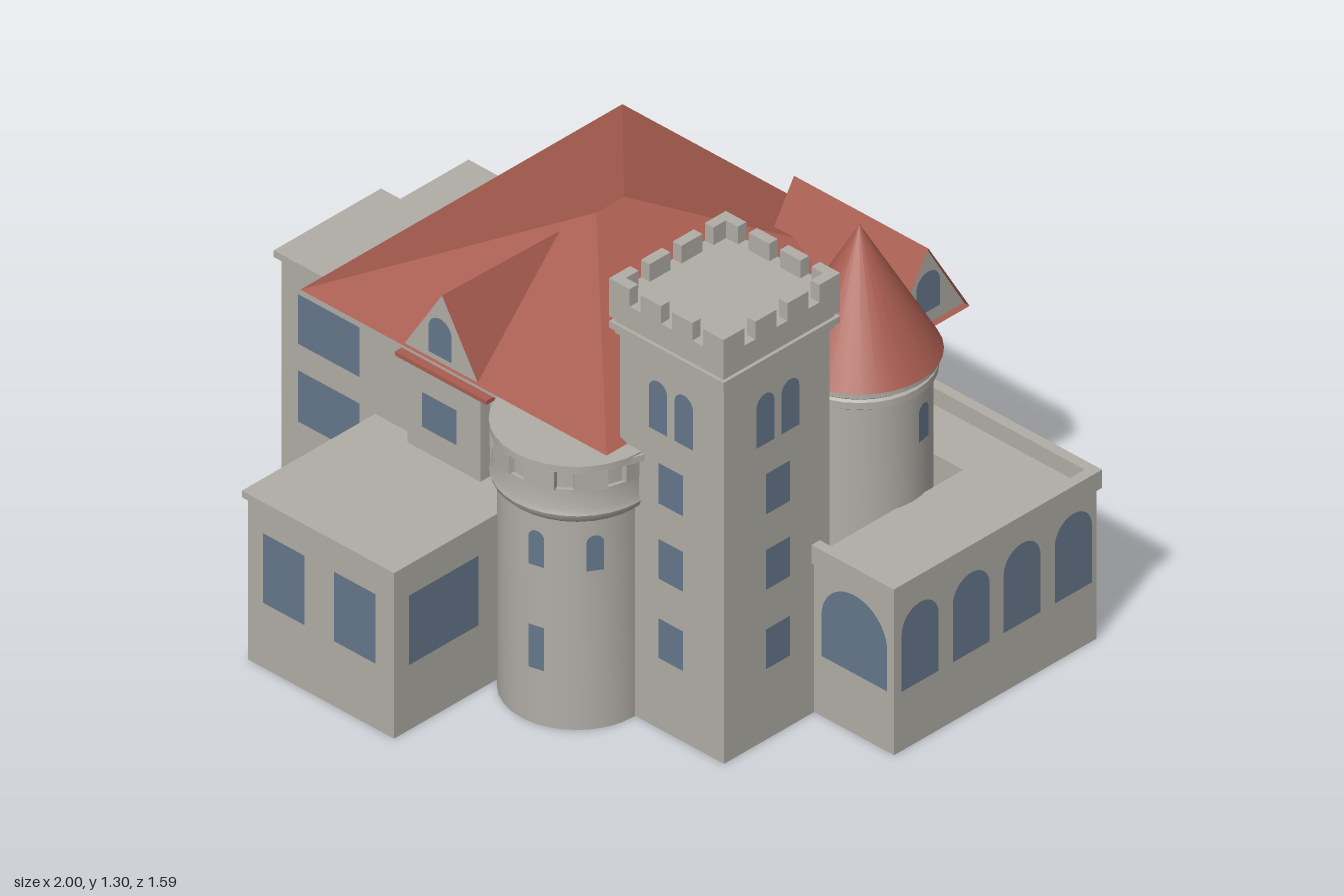
import * as THREE from 'three';
import { toCreasedNormals } from 'three/addons/utils/BufferGeometryUtils.js';

const material = (name, color, side = THREE.DoubleSide) => {
  const m = new THREE.MeshStandardMaterial({ color, side });
  m.name = name;
  return m;
};

export function createModel() {
  const castle = new THREE.Group();
  castle.name = 'castle';
  const stone = material('stone', 0xb0ada6);
  const tile = material('roofTile', 0xa85c4f);
  const glass = material('windowGlass', 0x65778b, THREE.FrontSide);

  const add = (name, geometry, mat = stone) => {
    const mesh = new THREE.Mesh(geometry, mat);
    mesh.name = name;
    castle.add(mesh);
    return mesh;
  };

  // Upright prism from [x, z] corners, open underneath when it stands on the ground
  const prism = (name, corners, y0, y1) => {
    const shape = new THREE.Shape(corners.map(([x, z]) => new THREE.Vector2(x, -z)));
    const g = new THREE.ExtrudeGeometry(shape, { depth: y1 - y0, bevelEnabled: false });
    if (y0 === 0) {
      const skip = g.groups[0].count / 2;
      for (const key of ['position', 'normal', 'uv']) {
        const a = g.attributes[key];
        g.setAttribute(key, new THREE.BufferAttribute(a.array.slice(skip * a.itemSize), a.itemSize));
      }
    }
    g.clearGroups();
    g.rotateX(-Math.PI / 2).translate(0, y0, 0);
    return add(name, g);
  };
  const block = (name, x0, x1, z0, z1, y0, y1) =>
    prism(name, [[x0, z0], [x1, z0], [x1, z1], [x0, z1]], y0, y1);

  // Round tower from a [radius, y] profile
  const round = (name, x, z, profile, mat = stone) => {
    const g = new THREE.LatheGeometry(profile.map(p => new THREE.Vector2(...p)), 32);
    add(name, toCreasedNormals(g, 0.5), mat).position.set(x, 0, z);
  };

  // Thin window pane; turn is the direction it faces (0 = +z)
  const pane = (x, z, turn, w, y0, y1, arched = false) => {
    const s = new THREE.Shape(), r = w / 2, h = y1 - y0;
    s.moveTo(-r, 0);
    s.lineTo(r, 0);
    if (arched) {
      s.lineTo(r, h - r);
      s.absarc(0, h - r, r, 0, Math.PI, false);
    } else {
      s.lineTo(r, h);
      s.lineTo(-r, h);
    }
    const m = add('window', new THREE.ShapeGeometry(s, 10), glass);
    m.position.set(x + Math.sin(turn) * 0.004, y0, z + Math.cos(turn) * 0.004);
    m.rotation.y = turn;
  };
  const RIGHT = Math.PI / 2, BACK = Math.PI, LEFT = -Math.PI / 2;

  // Flat-faced surface from triangles
  const facets = (name, triangles, mat) => {
    const g = new THREE.BufferGeometry();
    g.setAttribute('position', new THREE.Float32BufferAttribute(triangles.flat(2), 3));
    g.computeVertexNormals();
    return add(name, g, mat);
  };

  // Main house with a faceted rear bay, a set-back front corner and a stepped cornice
  const plan = [[-0.65, -0.62], [-0.2, -0.62], [-0.09, -0.765], [0.06, -0.765], [0.2, -0.66], [0.2, -0.59],
    [0.5, -0.59], [0.5, 0], [0.38, 0.31], [-0.5, 0.31], [-0.5, 0.165], [-0.65, 0.165]];
  const grow = s => plan.map(([x, z]) => [-0.07 + (x + 0.07) * s, -0.23 + (z + 0.23) * s]);
  prism('mainHouse', plan, 0, 0.775);
  prism('cornice', grow(1.03), 0.765, 0.785);
  prism('cornice', grow(1.06), 0.785, 0.805);
  for (const [y0, y1] of [[0.2, 0.31], [0.395, 0.5], [0.59, 0.69]]) {
    pane(-0.565, 0.165, 0, 0.06, y0, y1);
    pane(-0.145, -0.6925, Math.atan2(-0.145, -0.11), 0.06, y0, y1);
    for (const x of [-0.36, -0.55]) pane(x, -0.62, BACK, 0.11, y0, y1);
  }

  // Hipped main roof
  const e = 0.81;
  const bl = [-0.7, e, -0.8], br = [0.37, e, -0.8], fr = [0.37, e, 0.36], fl = [-0.7, e, 0.36];
  const rb = [-0.17, 1.04, -0.26], rf = [-0.17, 1.04, -0.16];
  facets('mainRoof', [[fl, fr, rf], [br, bl, rb], [bl, fl, rf], [bl, rf, rb], [fr, br, rb], [fr, rb, rf],
    [bl, br, fr], [bl, fr, fl]], tile);

  // Front bay with gabled dormer
  block('frontBay', -0.34, -0.085, 0.2, 0.345, 0.45, 0.775);
  pane(-0.225, 0.345, 0, 0.12, 0.585, 0.69);
  const apex = [-0.21, 1.02, 0.355], tail = [-0.21, 1.01, -0.07];
  const dl = [-0.34, 0.815, 0.355], dr = [-0.085, 0.815, 0.355];
  facets('frontDormerRoof', [[dl, apex, tail], [apex, dr, tail]], tile);
  facets('frontGable', [[dl, dr, apex]], stone);
  pane(-0.212, 0.356, 0, 0.08, 0.835, 0.95, true);
  add('dormerEave', new THREE.BoxGeometry(0.32, 0.012, 0.1), tile).position.set(-0.21, 0.772, 0.31);

  // Rear dormer, gabled at both ends, with a tiled soffit
  const x0 = 0.06, x1 = 0.53, zr = -0.635, yr = 1.03, ye = 0.785, zb = -0.783, zf = -0.487;
  const p = (x, y, z) => [x, y, z];
  facets('rearDormerRoof', [
    [p(x1, ye, zb), p(x0, ye, zb), p(x0, yr, zr)], [p(x1, ye, zb), p(x0, yr, zr), p(x1, yr, zr)],
    [p(x0, ye, zf), p(x1, ye, zf), p(x1, yr, zr)], [p(x0, ye, zf), p(x1, yr, zr), p(x0, yr, zr)],
    [p(x0, ye, zb), p(x1, ye, zb), p(x1, ye, zf)], [p(x0, ye, zb), p(x1, ye, zf), p(x0, ye, zf)],
  ], tile);
  const gx0 = x0 + 0.005, gx1 = x1 - 0.005;
  facets('rearGable', [
    [p(gx1, 0.8, -0.5), p(gx1, 0.8, -0.768), p(gx1, 1.025, zr)],
    [p(gx0, 0.8, -0.768), p(gx0, 0.8, -0.5), p(gx0, 1.025, zr)],
  ], stone);
  pane(gx1, zr, RIGHT, 0.085, 0.84, 0.96, true);
  pane(gx0, zr, LEFT, 0.085, 0.84, 0.96, true);

  // Left wing in two heights
  block('leftWing', -0.985, -0.6, -0.24, 0.135, 0, 0.665);
  block('leftWingCornice', -1, -0.64, -0.24, 0.147, 0.665, 0.685);
  block('leftWingLow', -0.985, -0.6, -0.545, -0.24, 0, 0.605);
  block('leftWingLowCornice', -1, -0.64, -0.555, -0.23, 0.605, 0.62);
  for (const [y0, y1] of [[0.2, 0.355], [0.435, 0.585]]) {
    pane(-0.815, 0.135, 0, 0.215, y0, y1);
    pane(-0.815, -0.545, BACK, 0.2, y0, y1);
    pane(-0.985, -0.37, LEFT, 0.16, y0, y1);
    pane(-0.985, -0.05, LEFT, 0.16, y0, y1);
  }

  // Low front wing
  block('frontWing', -0.475, 0.035, 0.25, 0.78, 0, 0.49);
  block('frontWingCornice', -0.487, 0.045, 0.25, 0.79, 0.49, 0.51);
  for (const x of [-0.347, -0.098]) pane(x, 0.78, 0, 0.145, 0.2, 0.41);
  pane(0.035, 0.605, RIGHT, 0.25, 0.2, 0.41);
  pane(-0.475, 0.555, LEFT, 0.25, 0.2, 0.41);

  // Round front tower with a band of merlons under its rim
  const rx = 0.198, rz = 0.29;
  round('roundTower', rx, rz, [[0.2, 0], [0.2, 0.63], [0.215, 0.645], [0.22, 0.66], [0.214, 0.675],
    [0.214, 0.735], [0.204, 0.735], [0.204, 0.787], [0.221, 0.79], [0.221, 0.81], [0, 0.81]]);
  for (let i = 0; i < 10; i++) {
    const a = (i + 0.5) * Math.PI / 5;
    const m = add('roundTowerMerlon', new THREE.BoxGeometry(0.085, 0.055, 0.03));
    m.position.set(rx + Math.sin(a) * 0.2, 0.76, rz + Math.cos(a) * 0.2);
    m.rotation.y = a;
  }

  // Cone-roofed tower
  const cx = 0.517, cz = -0.4;
  round('coneTower', cx, cz, [[0.186, 0], [0.186, 0.775], [0.2, 0.785], [0.2, 0.805], [0.192, 0.81],
    [0.205, 0.82], [0.205, 0.84], [0, 0.84]]);
  round('coneRoof', cx, cz, [[0, 0.838], [0.212, 0.838], [0.001, 1.21]], tile);

  // Slit windows on both round towers
  const onTower = (x, z, r, a, y0, y1, arched) =>
    pane(x + Math.sin(a) * r, z + Math.cos(a) * r, a, 0.046, y0, y1, arched);
  for (const a of [0.25, 1]) {
    onTower(rx, rz, 0.2, a, 0.482, 0.588, true);
    onTower(cx, cz, 0.186, RIGHT + a - 0.04, 0.63, 0.738, true);
  }
  onTower(rx, rz, 0.2, 0.25, 0.17, 0.3, false);

  // Tall square tower
  const tx = 0.526, tz = 0.095;
  const tier = (name, hx, hz, y0, y1) => block(name, tx - hx, tx + hx, tz - hz, tz + hz, y0, y1);
  tier('squareTower', 0.182, 0.19, 0, 1.14);
  tier('squareTowerCornice', 0.19, 0.2, 1.135, 1.15);
  tier('squareTowerCornice', 0.2, 0.21, 1.15, 1.17);
  tier('squareTowerCornice', 0.19, 0.2, 1.17, 1.185);
  tier('squareTowerParapet', 0.2, 0.21, 1.185, 1.247);
  const hx = 0.2, hz = 0.21, t = 0.03;
  for (let i = 0; i < 4; i++) {
    const u = -1 + i * 0.547, v = u + 0.359;
    for (const s of [-1, 1]) {
      const ex = tx + s * (hx - t / 2), ez = tz + s * (hz - t / 2);
      block('merlon', tx + u * hx, tx + v * hx, ez - t / 2, ez + t / 2, 1.245, 1.3);
      block('merlon', ex - t / 2, ex + t / 2, tz + u * hz, tz + v * hz, 1.245, 1.3);
    }
  }
  for (const [turn, dx, dz] of [[0, 0, 0.19], [RIGHT, 0.182, 0], [BACK, 0, -0.19], [LEFT, -0.182, 0]]) {
    const x = tx + dx, z = tz + dz;
    for (const s of [-0.045, 0.045])
      pane(x + Math.cos(turn) * s, z - Math.sin(turn) * s, turn, 0.064, 0.9, 1.052, true);
    if (turn === 0 || turn === RIGHT)
      for (const [y0, y1] of [[0.217, 0.337], [0.457, 0.577], [0.685, 0.807]]) pane(x, z, turn, 0.086, y0, y1);
  }

  // L-shaped arcade wing with a terrace and outer parapet
  prism('arcadeWing', [[0.05, -0.77], [0.987, -0.77], [0.987, -0.04], [0.695, -0.04],
    [0.695, -0.59], [0.05, -0.59]], 0, 0.46);
  block('terraceParapet', 0.965, 0.996, -0.78, -0.03, 0.455, 0.51);
  block('terraceParapet', 0.05, 0.965, -0.78, -0.75, 0.455, 0.51);
  block('terraceParapet', 0.7, 0.965, -0.06, -0.03, 0.455, 0.51);
  for (const z of [-0.13, -0.314, -0.497, -0.682]) pane(0.987, z, RIGHT, 0.133, 0.182, 0.422, true);
  for (const x of [0.845, 0.645, 0.442, 0.238]) pane(x, -0.77, BACK, 0.133, 0.182, 0.422, true);
  pane(0.852, -0.04, 0, 0.23, 0.185, 0.422, true);

  return castle;
}
